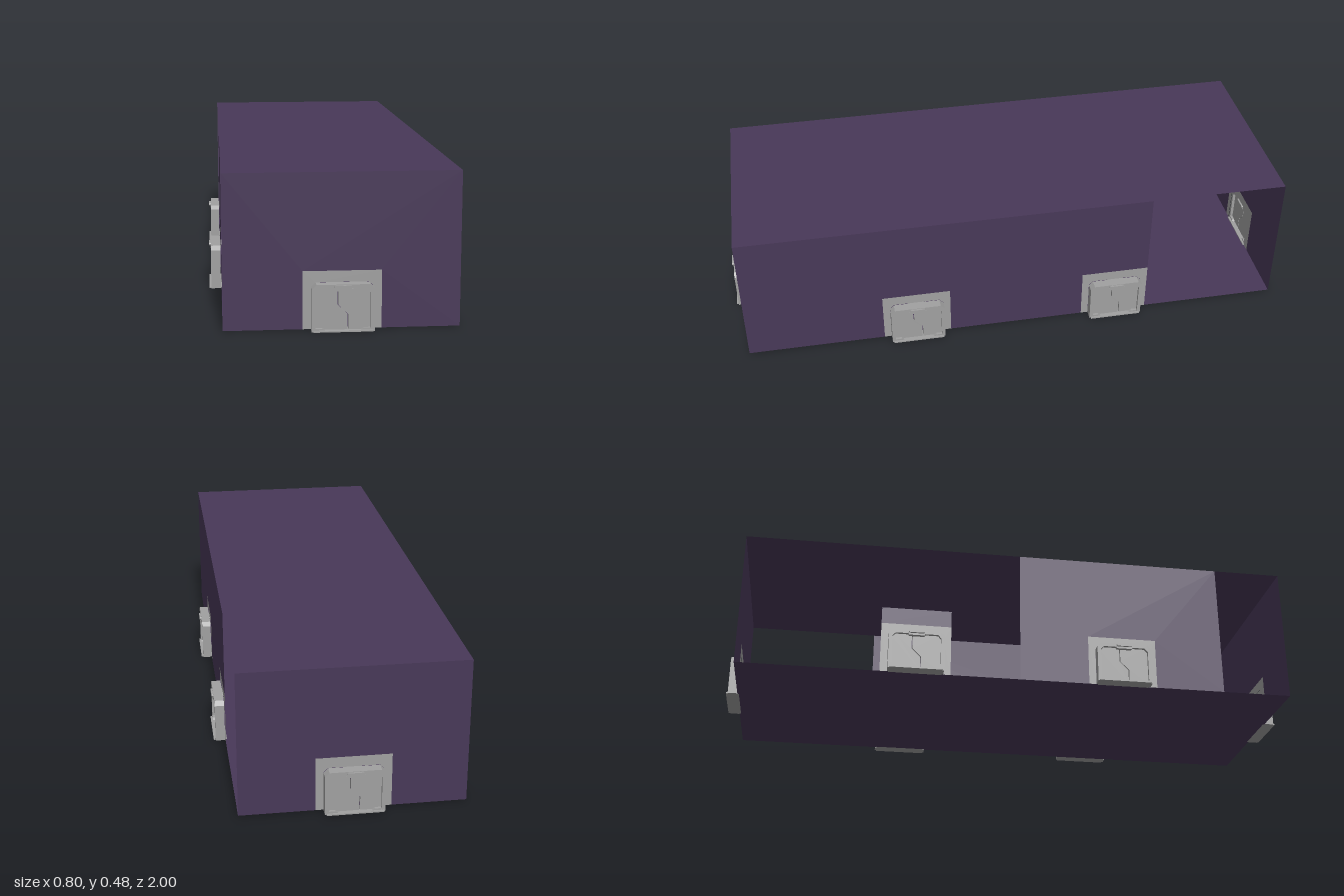
import * as THREE from 'three';

const W = 0.72, H = 0.48, L = 1.92;          // room size
const FW = 0.12, FH = 0.18;                  // door frame half width and height
const MID = 0.0175;                          // door centre plane, outside the wall plane

const purple = new THREE.MeshStandardMaterial({ color: 0x483858, side: THREE.DoubleSide });
purple.name = 'purple wall';
const grey = new THREE.MeshStandardMaterial({ color: 0xa0a0a0, side: THREE.DoubleSide });
grey.name = 'grey metal';

const shapeOf = (pts) => new THREE.Shape(pts.map(([x, y]) => new THREE.Vector2(x, y)));
const mirrored = (pts) => pts.map(([x, y]) => [-x, y]).reverse();

function add(parent, name, geometry, material) {
  const mesh = new THREE.Mesh(geometry, material);
  mesh.name = name;
  parent.add(mesh);
  return mesh;
}

// Extrudes a shape symmetrically about the door centre plane
function slab(parent, name, shape, depth) {
  const geo = new THREE.ExtrudeGeometry(shape, { depth, bevelEnabled: false, curveSegments: 6 });
  return add(parent, name, geo.translate(0, 0, MID - depth / 2), grey);
}

// Flat wall from x0 to x1, with doorways notched out of its lower edge
function wall(parent, name, x0, x1, doors) {
  const pts = [[x0, H], [x0, 0]];
  for (const d of doors) pts.push([d - FW, 0], [d - FW, FH], [d + FW, FH], [d + FW, 0]);
  pts.push([x1, 0], [x1, H]);
  return add(parent, name, new THREE.ShapeGeometry(shapeOf(pts)), purple);
}

function door(x) {
  const g = new THREE.Group();
  g.name = 'door';
  g.position.x = x;

  // flat surround, flush with the wall
  const outer = [[0.095, 0], [0.095, 0.131], [0.081, 0.145]];
  const inner = [[0.083, 0], [0.083, 0.119], [0.072, 0.131]];
  const innerLeft = inner.map(([a, b]) => [-a, b]);
  const frame = [[-FW, 0], [-FW, FH], [FW, FH], [FW, 0], ...outer, ...mirrored(outer)];
  add(g, 'doorFrame', new THREE.ShapeGeometry(shapeOf(frame)), grey);

  // projecting jamb
  const jamb = [...outer, ...mirrored(outer), ...innerLeft, ...[...inner].reverse()];
  slab(g, 'doorJamb', shapeOf(jamb), 0.032);

  // two leaves that meet along a stepped seam
  const gap = 0.0015;
  const seam = [[-0.015, 0.131], [-0.015, 0.08], [0.015, 0.05], [0.015, 0]];
  slab(g, 'rightLeaf', shapeOf([...innerLeft, ...seam.map(([a, b]) => [a - gap, b])]), 0.012);
  slab(g, 'leftLeaf', shapeOf([...inner, ...seam.map(([a, b]) => [a + gap, b])]), 0.012);

  // threshold and its corner blocks
  const sill = new THREE.BoxGeometry(0.18, 0.004, 0.045).translate(0, 0.002, MID);
  add(g, 'threshold', sill, grey);
  const block = [[0.083, 0.004], [0.083, 0.01], [0.062, 0.01], [0.054, 0.004]];
  slab(g, 'leftCornerBlock', shapeOf(block), 0.03);
  slab(g, 'rightCornerBlock', shapeOf(mirrored(block)), 0.03);

  // lamp bar and hood over the opening
  const bar = new THREE.Shape();
  bar.absarc(0.022, 0.138, 0.005, -Math.PI / 2, Math.PI / 2);
  bar.absarc(-0.022, 0.138, 0.005, Math.PI / 2, Math.PI * 1.5);
  slab(g, 'lampBar', bar, 0.045);
  const hood = [[-0.03, 0.132], [-0.026, 0.125], [0.026, 0.125], [0.03, 0.132]];
  slab(g, 'lampHood', shapeOf(hood), 0.036);
  return g;
}

// One side of the room: local z points outward
function side(name, distance, turn, doors) {
  const g = new THREE.Group();
  g.name = name;
  g.rotation.y = turn;
  g.position.set(Math.sin(turn) * distance, 0, Math.cos(turn) * distance);
  doors.forEach((x) => g.add(door(x)));
  return g;
}

export function createModel() {
  const model = new THREE.Group();
  model.name = 'corridorRoom';

  // floor and ceiling
  for (const [name, y] of [['floor', 0], ['ceiling', H]]) {
    const plane = new THREE.PlaneGeometry(W, L).rotateX(-Math.PI / 2);
    add(model, name, plane, purple).position.y = y;
  }

  // end walls
  for (const [name, turn] of [['front', 0], ['back', Math.PI]]) {
    const end = side(name + 'Side', L / 2, turn, [0]);
    wall(end, name + 'Wall', -W / 2, W / 2, [0]);
    model.add(end);
  }

  // left wall, open at its back end
  const left = side('leftSide', W / 2, Math.PI / 2, [-0.36, 0.36]);
  wall(left, 'leftWall', -L / 2, 0.48, [-0.36, 0.36]);
  model.add(left);

  // right wall, open along the back half and at the front end
  const right = side('rightSide', W / 2, -Math.PI / 2, [-0.36, 0.36]);
  wall(right, 'rightWall', 0, 0.72, [0.36]);
  const lintel = new THREE.PlaneGeometry(0.24, 0.06).translate(-0.36, 0.21, 0);
  add(right, 'lintel', lintel, purple);
  model.add(right);

  return model;
}
